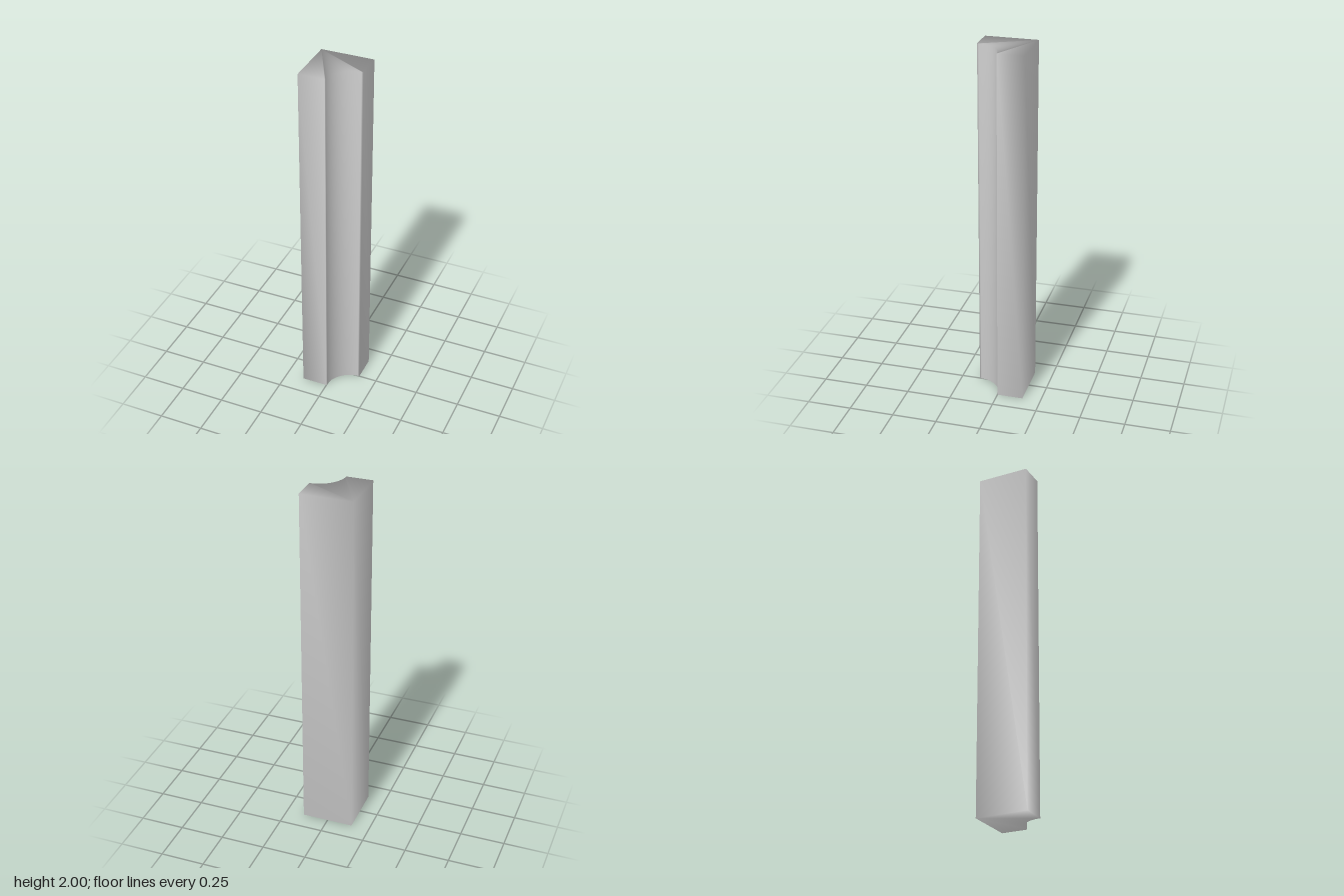
import * as THREE from 'three';
import { mergeVertices } from 'three/addons/utils/BufferGeometryUtils.js';

const HALF = 0.146; // half the width of the square section
const HEIGHT = 2;

// Square section with a quarter-round cove cut from the front left corner (shape y = -z)
function coveSection() {
  const s = new THREE.Shape();
  s.moveTo(-HALF, HALF);
  s.lineTo(-HALF, -HALF);
  s.lineTo(0, -HALF);
  s.absarc(HALF, -HALF, HALF, Math.PI, Math.PI / 2, true);
  s.lineTo(HALF, HALF);
  s.closePath();
  return s;
}

export function createModel() {
  const model = new THREE.Group();
  model.name = 'coveMoulding';

  const extruded = new THREE.ExtrudeGeometry(coveSection(), {
    depth: HEIGHT, bevelEnabled: false, curveSegments: 12,
  });
  extruded.rotateX(-Math.PI / 2);

  // Weld the corners so the shading runs smoothly over every edge
  extruded.deleteAttribute('normal');
  extruded.deleteAttribute('uv');
  const geometry = mergeVertices(extruded, 1e-4);
  geometry.computeVertexNormals();

  const post = new THREE.Mesh(geometry, new THREE.MeshStandardMaterial({ color: 0xcccccc }));
  post.name = 'covedPost';
  model.add(post);
  return model;
}
